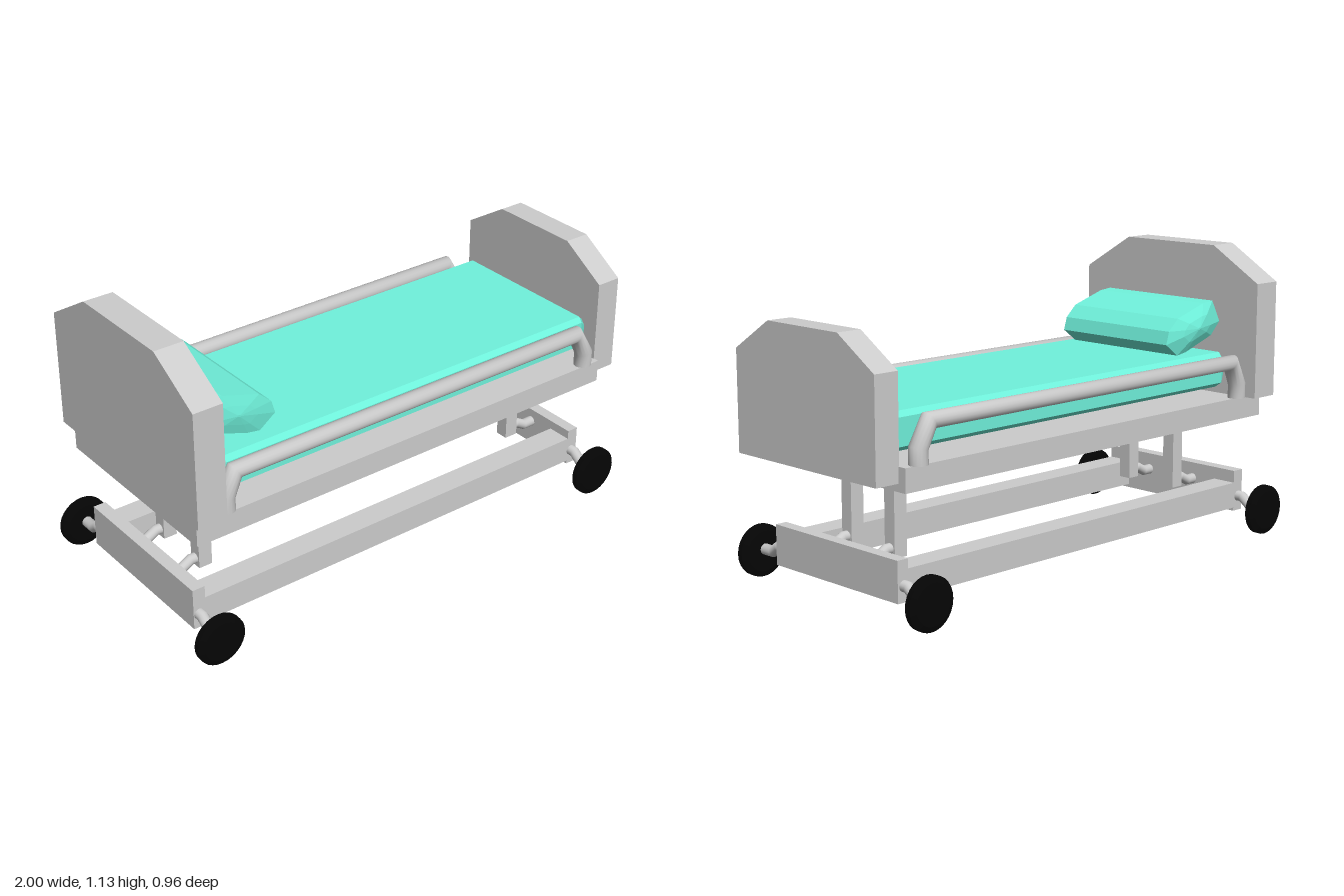
import * as THREE from 'three';

const grey = new THREE.MeshStandardMaterial({ color: 0xcccccc, flatShading: true });
const pipe = new THREE.MeshStandardMaterial({ color: 0xcccccc, side: THREE.DoubleSide });
const teal = new THREE.MeshStandardMaterial({ color: 0x70f2dc, flatShading: true });
const black = new THREE.MeshStandardMaterial({ color: 0x050505, flatShading: true });

// Path of straight runs whose tube is mitred at the corners
class Bends extends THREE.Curve {
  constructor(points) {
    super();
    this.points = points.map((p) => new THREE.Vector3(...p));
  }
  getPointAt(t) {
    return this.points[Math.round(t * (this.points.length - 1))].clone();
  }
  getTangentAt(t) {
    const p = this.points, n = p.length - 1, i = Math.round(t * n), sum = new THREE.Vector3();
    if (i > 0) sum.add(p[i].clone().sub(p[i - 1]).normalize());
    if (i < n) sum.add(p[i + 1].clone().sub(p[i]).normalize());
    return sum.normalize();
  }
}

// Skin over rings of equal length, closed at both ends
function loft(rings) {
  const n = rings[0].length, pos = rings.flat(2), index = [];
  for (let r = 0; r < rings.length - 1; r++) {
    for (let i = 0; i < n; i++) {
      const a = r * n + i, b = r * n + (i + 1) % n;
      index.push(a, b, a + n, b, b + n, a + n);
    }
  }
  const last = (rings.length - 1) * n;
  for (let i = 1; i < n - 1; i++) index.push(0, i + 1, i, last, last + i, last + i + 1);
  const g = new THREE.BufferGeometry();
  g.setAttribute('position', new THREE.Float32BufferAttribute(pos, 3));
  g.setIndex(index);
  g.computeVertexNormals();
  return g;
}

export function createModel() {
  const model = new THREE.Group();
  const add = (name, geometry, material) => {
    const mesh = new THREE.Mesh(geometry, material);
    mesh.name = name;
    model.add(mesh);
    return mesh;
  };
  const box = (name, x0, x1, y0, y1, z0, z1) =>
    add(name, new THREE.BoxGeometry(x1 - x0, y1 - y0, z1 - z0), grey)
      .position.set((x0 + x1) / 2, (y0 + y1) / 2, (z0 + z1) / 2);
  const tube = (name, points, radius) =>
    add(name, new THREE.TubeGeometry(new Bends(points), points.length - 1, radius, 16), pipe);

  // End boards: rectangles with two cut upper corners
  const board = (name, x0, x1, y0, yCut, y1, zc, half, topHalf) => {
    const shape = new THREE.Shape([
      [-half, y0], [half, y0], [half, yCut], [topHalf, y1], [-topHalf, y1], [-half, yCut],
    ].map((p) => new THREE.Vector2(...p)));
    const g = new THREE.ExtrudeGeometry(shape, { depth: x1 - x0, bevelEnabled: false });
    g.rotateY(Math.PI / 2).translate(x0, 0, zc);
    add(name, g, grey);
  };
  board('headboard', -0.957, -0.84, 0.55, 0.997, 1.13, -0.012, 0.442, 0.222);
  board('footboard', 0.9, 1.0, 0.493, 0.867, 0.982, 0.009, 0.37, 0.186);

  // Bed deck
  box('deck', -0.945, 0.903, 0.464, 0.55, -0.395, 0.4);

  // Mattress: bevelled section, drawn in at head and foot
  const section = (x, h, w) => [
    [w - 0.015, h], [w, h - 0.02], [w, -h + 0.02], [w - 0.03, -h],
    [-w + 0.03, -h], [-w, -h + 0.02], [-w, h - 0.02], [-w + 0.015, h],
  ].map(([z, y]) => [x, 0.65 + y, 0.01 + z]);
  add('mattress', loft([
    section(-0.84, 0.04, 0.305), section(-0.805, 0.07, 0.325),
    section(0.865, 0.07, 0.325), section(0.9, 0.04, 0.305),
  ]), teal);

  // Pillow: tilted oval section with domed ends
  const outline = [
    [-0.84, 0.835], [-0.79, 0.785], [-0.64, 0.735], [-0.59, 0.727], [-0.525, 0.775],
    [-0.54, 0.825], [-0.59, 0.87], [-0.74, 0.915], [-0.795, 0.92],
  ];
  const slice = (z, s) => outline.map(([x, y]) => [-0.685 + (x + 0.685) * s, 0.825 + (y - 0.825) * s, z]);
  add('pillow', loft([
    slice(-0.3, 0.05), slice(-0.29, 0.5), slice(-0.27, 1),
    slice(0.27, 1), slice(0.28, 0.5), slice(0.287, 0.05),
  ]), teal);

  // Side rails with bent feet
  for (const z of [0.38, -0.386]) {
    tube('sideRail', [
      [-0.812, 0.55, z], [-0.812, 0.605, z], [-0.772, 0.692, z],
      [0.79, 0.692, z], [0.838, 0.605, z], [0.838, 0.55, z],
    ], 0.034);
  }

  // Base frame
  box('endBeam', -0.93, -0.88, 0.072, 0.235, -0.33, 0.33);
  box('endBeam', 0.84, 0.886, 0.072, 0.222, -0.33, 0.33);
  for (const s of [1, -1]) {
    const z = s * 0.28;
    box('sideBeam', -0.89, 0.85, 0.085, 0.187, z - 0.05, z + 0.05);
  }

  // Posts, each tied to its end beam by a bent pipe
  for (const s of [1, -1]) {
    const z = s * 0.116;
    box('post', -0.78, -0.726, 0.16, 0.48, z - 0.026, z + 0.026);
    box('post', 0.68, 0.736, 0.16, 0.48, z - 0.026, z + 0.026);
    tube('postBrace', [[-0.89, 0.17, z], [-0.84, 0.17, z], [-0.8, 0.192, z], [-0.75, 0.192, z]], 0.02);
    tube('postBrace', [[0.85, 0.17, z], [0.795, 0.17, z], [0.755, 0.192, z], [0.71, 0.192, z]], 0.02);
  }

  // Wheels with bevelled rims on bent axles
  const rim = [[0, -0.022], [0.075, -0.022], [0.097, -0.011], [0.097, 0.011], [0.075, 0.022], [0, 0.022]]
    .map((p) => new THREE.Vector2(...p));
  for (const x of [-0.907, 0.859]) {
    for (const s of [1, -1]) {
      const wheel = add('wheel', new THREE.LatheGeometry(rim, 28), black);
      wheel.rotation.x = Math.PI / 2;
      wheel.position.set(x, 0.097, s * 0.456);
      tube('axle', [
        [x, 0.13, s * 0.31], [x, 0.13, s * 0.352], [x, 0.105, s * 0.385], [x, 0.105, s * 0.45],
      ], 0.021);
    }
  }

  return model;
}
